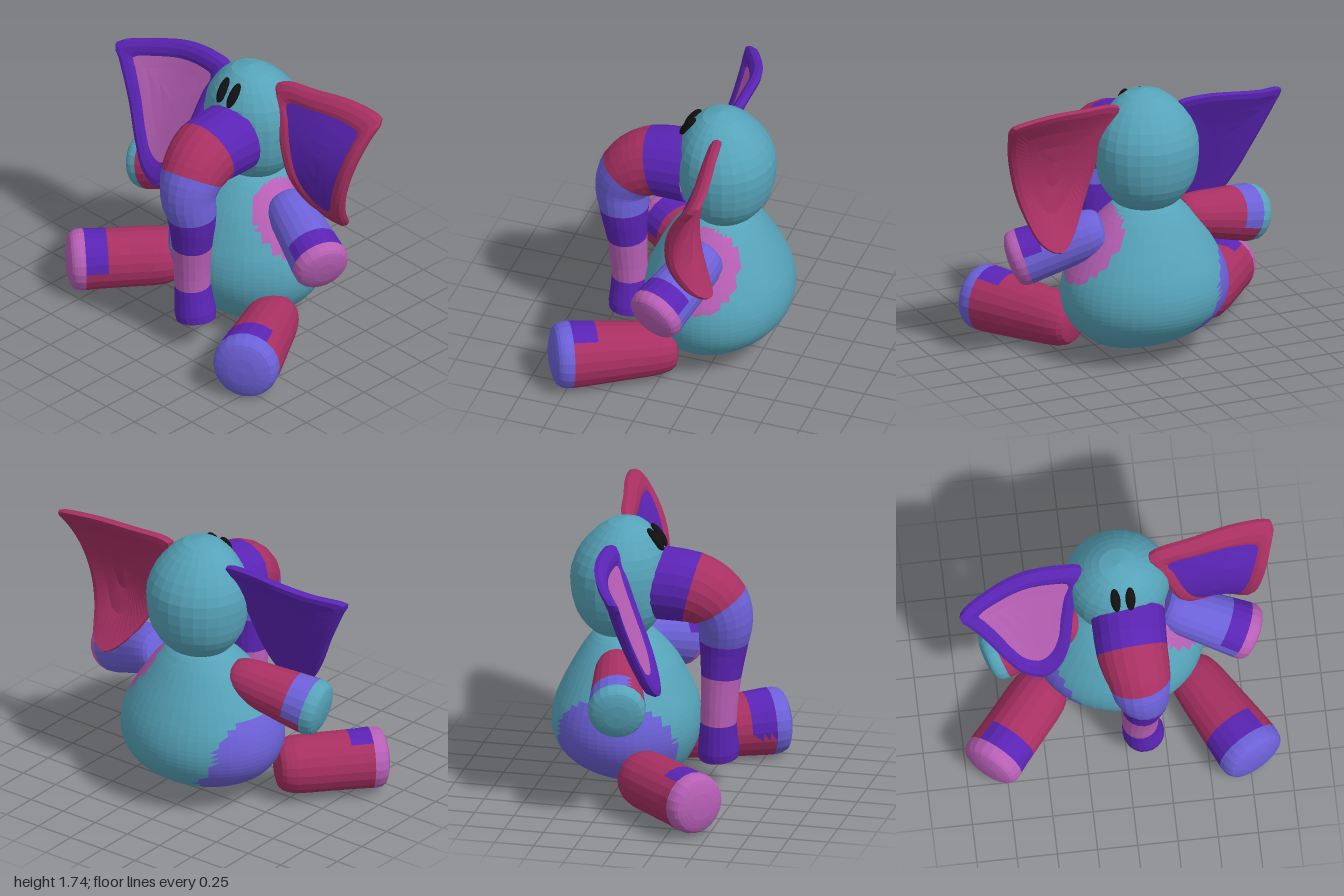
import * as THREE from 'three';

const COLORS = {
  teal: 0x56a3b9, crimson: 0xa83062, purple: 0x5a24b4, blue: 0x6c61d8, pink: 0xb75fb5, black: 0x111111,
};
const materials = {};
for (const key in COLORS) {
  materials[key] = new THREE.MeshStandardMaterial({ color: COLORS[key], flatShading: true });
}

// Faceted grid surface point(i, j), split into one mesh per fabric colour chosen by pick(i, j, centre)
function patchwork(name, nu, nv, point, pick) {
  const group = new THREE.Group();
  group.name = name;
  const buckets = {};
  for (let j = 0; j < nv; j++) {
    for (let i = 0; i < nu; i++) {
      const a = point(i, j), b = point(i + 1, j), c = point(i + 1, j + 1), d = point(i, j + 1);
      for (const tri of [[a, b, c], [a, c, d]]) {
        const area = tri[1].clone().sub(tri[0]).cross(tri[2].clone().sub(tri[0])).length();
        if (area < 1e-9) continue;
        const centre = tri[0].clone().add(tri[1]).add(tri[2]).divideScalar(3);
        const list = (buckets[pick(i, j, centre)] ??= []);
        tri.forEach((p) => list.push(p.x, p.y, p.z));
      }
    }
  }
  for (const color in buckets) {
    const geo = new THREE.BufferGeometry();
    geo.setAttribute('position', new THREE.Float32BufferAttribute(buckets[color], 3));
    geo.computeVertexNormals();
    const mesh = new THREE.Mesh(geo, materials[color]);
    mesh.name = `${name} ${color}`;
    group.add(mesh);
  }
  return group;
}

// Round form swept through stations [x, y, z, radius]; pick(s, out, centre) gets the station number.
// With upright set, every ring stays level.
function loft(name, stations, pick, { sides = 24, rows = 3, depth = 1, ref = [1, 0, 0], upright = false } = {}) {
  const n = stations.length - 1;
  const path = new THREE.CatmullRomCurve3(stations.map((s) => new THREE.Vector3(s[0], s[1], s[2])));
  const radii = new THREE.CatmullRomCurve3(
    stations.map((s, i) => new THREE.Vector3(s[3], i, 0)), false, 'catmullrom', 0.5);
  const rings = [];
  for (let j = 0; j <= n * rows; j++) {
    const t = j / (n * rows);
    const T = upright ? new THREE.Vector3(0, 1, 0) : path.getTangent(t);
    const S = new THREE.Vector3(...ref).projectOnPlane(T).normalize();
    rings.push({ c: path.getPoint(t), r: Math.max(0, radii.getPoint(t).x), S, N: T.clone().cross(S) });
  }
  const point = (i, j) => {
    const { c, r, S, N } = rings[j];
    const a = ((i % sides) / sides) * Math.PI * 2;
    return c.clone().addScaledVector(S, r * Math.cos(a)).addScaledVector(N, r * Math.sin(a) * depth);
  };
  return patchwork(name, sides, n * rows, point, (i, j, p) =>
    pick((j + 0.5) / rows, p.clone().sub(rings[j].c).normalize(), p));
}

// Stuffed limb with a rounded hip, a padded end and a patch near the end
function limb(name, from, to, r0, r1, main, patch, end, patchDir) {
  const a = new THREE.Vector3(...from), b = new THREE.Vector3(...to);
  const stations = [[-0.06, 0], [-0.02, r0 * 0.75], [0.12, r0], [0.45, (r0 + r1) / 2], [0.75, r1 * 0.98],
    [0.92, r1], [1, r1 * 0.87], [1.04, r1 * 0.45], [1.05, 0]]
    .map(([t, r]) => [...a.clone().lerp(b, t).toArray(), r]);
  const dir = new THREE.Vector3(...patchDir).normalize();
  return loft(name, stations, (s, out) => {
    if (s > 4.67) return end;
    return s > 3.67 && out.dot(dir) > 0.35 ? patch : main;
  }, { sides: 20, ref: [0, 1, 0] });
}

// Floppy ear: padded rim around a flat lining, bent by bend(x, y)
function ear(name, outline, bend, rim, lining) {
  const curve = new THREE.CatmullRomCurve3(
    outline.map(([x, y]) => new THREE.Vector3(x, y, 0)), true, 'centripetal');
  const sides = 64;
  const edge = curve.getSpacedPoints(sides);
  const mid = new THREE.Vector3();
  edge.slice(0, sides).forEach((p) => mid.addScaledVector(p, 1 / sides));
  // [scale of the outline, offset in depth], from the middle of the front round to the back
  const section = [[0, 0.015], [0.25, 0.015], [0.5, 0.015], [0.72, 0.018], [0.79, 0.03], [0.9, 0.036],
    [0.98, 0.025], [1, 0], [0.98, -0.03], [0.88, -0.038], [0.6, -0.03], [0.3, -0.025], [0, -0.025]];
  const point = (i, j) => {
    const [k, off] = section[j];
    const p = mid.clone().lerp(edge[i % sides], k);
    p.z = bend(p.x, p.y) + off;
    return p;
  };
  return patchwork(name, sides, section.length - 1, point, (i, j) => (j < 3 ? lining : rim));
}

export function createModel() {
  const model = new THREE.Group();
  model.name = 'patchworkElephant';

  // Pear-shaped body with a shoulder patch and a hip patch: [x, y, z, radius]
  const bodyStations = [[0.09, 0.065, -0.14, 0], [0.09, 0.07, -0.14, 0.16], [0.05, 0.11, -0.16, 0.285],
    [0.025, 0.2, -0.195, 0.42], [0.015, 0.31, -0.215, 0.505], [0.01, 0.43, -0.22, 0.535],
    [0.01, 0.56, -0.22, 0.515], [0.01, 0.7, -0.22, 0.45], [0.01, 0.83, -0.22, 0.37],
    [0.01, 0.94, -0.23, 0.28], [0.01, 1.02, -0.24, 0.18], [0.01, 1.05, -0.24, 0]];
  model.add(loft('body', bodyStations, (s, out, p) => {
    if (p.x > 0.2 && Math.hypot(p.z + 0.22, p.y - 0.77) < 0.23) return 'pink';
    if (p.y < 0.67 && p.z > -0.57 && p.x < -0.42 + 0.52 * (0.68 - p.y)) return 'blue';
    return 'teal';
  }, { sides: 48, rows: 4, depth: 0.86, upright: true }));

  // Egg-shaped head, its crown set slightly forward: [y, z, radius]
  const headProfile = [[0.99, -0.255, 0], [1.0, -0.255, 0.15], [1.06, -0.26, 0.23], [1.16, -0.265, 0.295],
    [1.29, -0.268, 0.324], [1.43, -0.265, 0.325], [1.55, -0.25, 0.285], [1.65, -0.235, 0.21],
    [1.72, -0.225, 0.12], [1.75, -0.222, 0]];
  model.add(loft('head', headProfile.map(([y, z, r]) => [0.015, y, z, r]), () => 'teal',
    { sides: 24, rows: 2, depth: 0.92, upright: true }));

  // Banded trunk curving forward and down
  const bands = ['purple', 'crimson', 'crimson', 'blue', 'blue', 'purple', 'pink', 'purple', 'purple'];
  model.add(loft('trunk', [
    [0.055, 1.325, -0.05, 0.23], [0.055, 1.308, 0.19, 0.222], [0.07, 1.265, 0.285, 0.21],
    [0.083, 1.205, 0.35, 0.195], [0.092, 1.1, 0.385, 0.176], [0.112, 0.96, 0.375, 0.155],
    [0.1, 0.73, 0.36, 0.126], [0.088, 0.43, 0.345, 0.112], [0.116, 0.195, 0.34, 0.124],
    [0.118, 0.185, 0.341, 0],
  ], (s) => bands[Math.floor(s)], { sides: 20, rows: 3 }));

  // Arms and legs
  model.add(limb('leftArm', [0.32, 0.87, -0.24], [0.835, 0.685, -0.06], 0.15, 0.178,
    'blue', 'purple', 'pink', [0.5, 1, 0.2]));
  model.add(limb('rightArm', [-0.24, 0.87, -0.22], [-0.81, 0.745, -0.08], 0.135, 0.178,
    'crimson', 'blue', 'teal', [0, 1, -0.8]));
  model.add(limb('leftLeg', [0.43, 0.2, -0.05], [0.783, 0.22, 0.59], 0.165, 0.208,
    'crimson', 'purple', 'blue', [-0.5, 1, 0.2]));
  model.add(limb('rightLeg', [-0.45, 0.23, -0.04], [-0.87, 0.22, 0.46], 0.18, 0.192,
    'crimson', 'purple', 'pink', [0.5, 1, 0.2]));

  // Ears, listed clockwise as seen from the front
  model.add(ear('leftEar', [[0.21, 1.68], [0.5, 1.72], [0.75, 1.735], [0.98, 1.71], [1.0, 1.69],
    [0.975, 1.58], [0.92, 1.35], [0.84, 1.05], [0.76, 0.86], [0.65, 0.81], [0.53, 0.9], [0.41, 1.1],
    [0.33, 1.32], [0.26, 1.55]],
  (x, y) => {
    const u = (y - 1.2) / 0.5;
    return -0.19 - (u < 0 ? 0.31 : 0.09 + 0.12 * (x - 0.2) / 0.8) * u * u;
  }, 'crimson', 'purple'));
  model.add(ear('rightEar', [[-0.99, 1.53], [-0.8, 1.585], [-0.55, 1.64], [-0.35, 1.655], [-0.2, 1.63],
    [-0.24, 1.48], [-0.28, 1.25], [-0.31, 1.02], [-0.38, 0.85], [-0.48, 0.775], [-0.6, 0.825],
    [-0.71, 0.98], [-0.82, 1.2], [-0.95, 1.45]],
  (x, y) => 0.09 - 0.41 * (y - 0.79) + 0.65 * Math.max(0, -x - 0.5) ** 2, 'purple', 'pink'));

  // Eyes
  for (const [side, x] of [['right', -0.023], ['left', 0.07]]) {
    const eye = new THREE.Mesh(new THREE.SphereGeometry(1, 16, 12), materials.black);
    eye.name = `${side}Eye`;
    eye.scale.set(0.031, 0.085, 0.028);
    eye.position.set(x, 1.63, -0.028);
    eye.rotation.set(-0.62, 0, x < 0 ? 0.06 : -0.02);
    model.add(eye);
  }
  return model;
}
